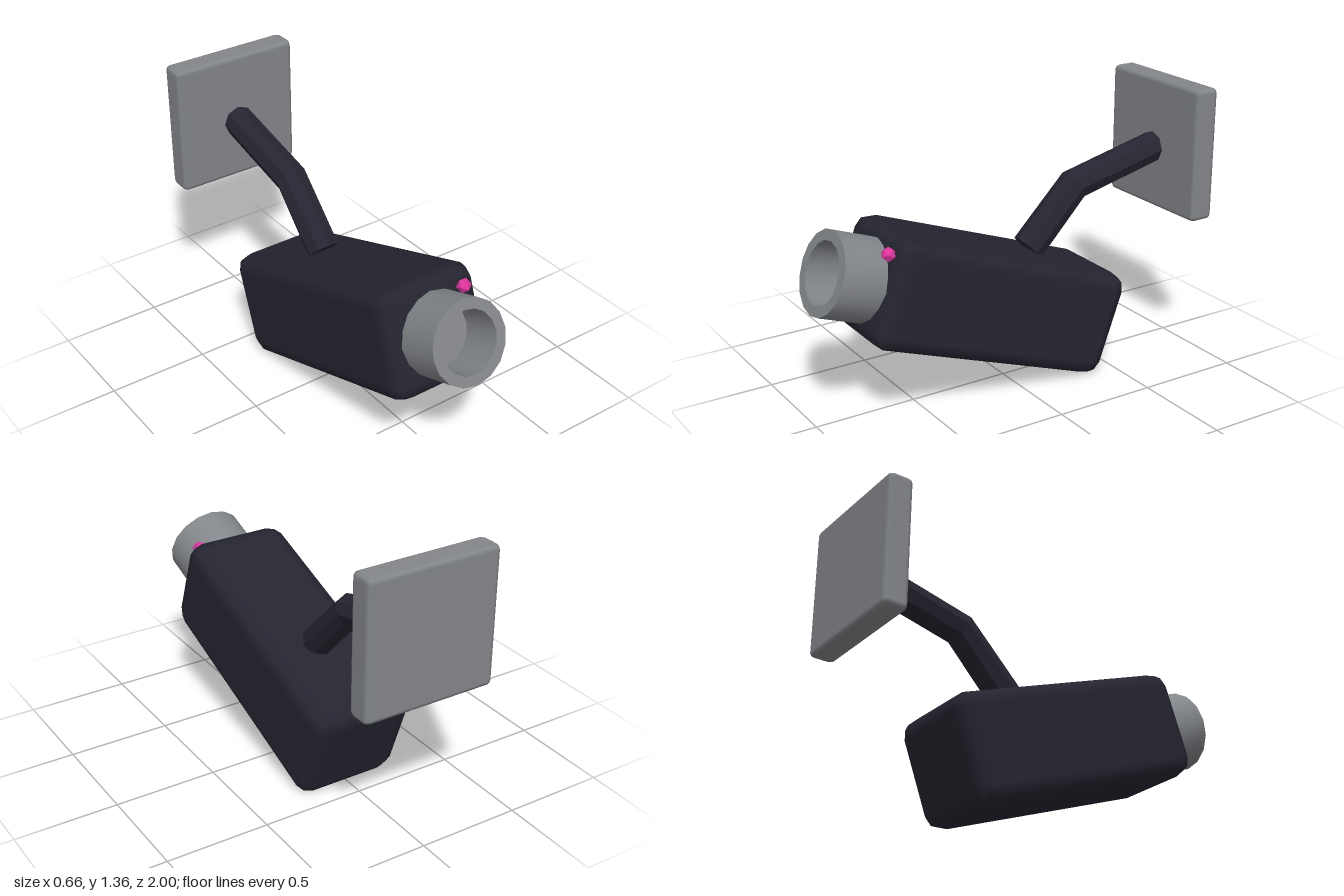
import * as THREE from 'three';
import { toCreasedNormals } from 'three/addons/utils/BufferGeometryUtils.js';
import { RoundedBoxGeometry } from 'three/addons/geometries/RoundedBoxGeometry.js';

const material = (name, color) => {
  const m = new THREE.MeshStandardMaterial({ color });
  m.name = name;
  return m;
};

function addMesh(parent, name, geometry, mat, x = 0, y = 0, z = 0) {
  const mesh = new THREE.Mesh(geometry, mat);
  mesh.name = name;
  mesh.position.set(x, y, z);
  parent.add(mesh);
  return mesh;
}

// Faceted bent bar: each ring has a centre (y, z) and an up half-axis (uy, uz)
function bentBar(rings, halfWidth, sides) {
  const positions = [];
  const indices = [];
  for (const { y, z, uy, uz } of rings) {
    for (let j = 0; j < sides; j++) {
      const t = (j / sides) * Math.PI * 2;
      positions.push(halfWidth * Math.cos(t), y + uy * Math.sin(t), z + uz * Math.sin(t));
    }
  }
  const last = (rings.length - 1) * sides;
  for (let j = 0; j < sides; j++) {
    const k = (j + 1) % sides;
    for (let i = 0; i < last; i += sides) {
      indices.push(i + j, i + k, i + sides + j, i + k, i + sides + k, i + sides + j);
    }
    // End caps as fans
    if (j > 0 && j < sides - 1) indices.push(0, k, j, last, last + j, last + k);
  }
  const indexed = new THREE.BufferGeometry();
  indexed.setAttribute('position', new THREE.Float32BufferAttribute(positions, 3));
  indexed.setIndex(indices);
  const geometry = indexed.toNonIndexed();
  geometry.computeVertexNormals();
  return geometry;
}

export function createModel() {
  const model = new THREE.Group();
  model.name = 'securityCamera';

  const dark = material('darkCasing', 0x252531);
  const grey = material('greyMetal', 0x83868a);
  const pink = material('pinkLight', 0xe0359f);

  // Wall plate
  addMesh(model, 'wallPlate', new RoundedBoxGeometry(0.656, 0.656, 0.125, 1, 0.025), grey, 0, 1.047, -0.937);

  // Bent octagonal arm from the plate to the casing
  const rings = [
    { y: 1.032, z: -0.9, uy: 0.077, uz: 0 },
    { y: 0.912, z: -0.403, uy: 0.069, uz: 0.036 },
    { y: 0.642, z: -0.141, uy: 0.057, uz: 0.056 },
  ];
  addMesh(model, 'arm', bentBar(rings, 0.08, 8), dark);

  // Tilted camera head
  const head = new THREE.Group();
  head.name = 'cameraHead';
  head.position.set(0, 0.45, 0.122);
  head.rotation.x = -THREE.MathUtils.degToRad(20);
  model.add(head);

  addMesh(head, 'casing', new RoundedBoxGeometry(0.526, 0.52, 1.3, 1, 0.08), dark);

  // Hollow lens barrel with a recessed floor
  const profile = [[0.198, 0], [0.198, 0.265], [0.147, 0.265], [0.147, 0.06], [0, 0.06]]
    .map(([r, h]) => new THREE.Vector2(r, h));
  const barrel = new THREE.LatheGeometry(profile, 16);
  barrel.rotateX(Math.PI / 2);
  addMesh(head, 'lensBarrel', toCreasedNormals(barrel, Math.PI / 5), grey, 0, 0, 0.6);

  // Indicator light
  addMesh(head, 'indicatorLight', new THREE.IcosahedronGeometry(0.035, 0), pink, 0.165, 0.168, 0.668);

  return model;
}
